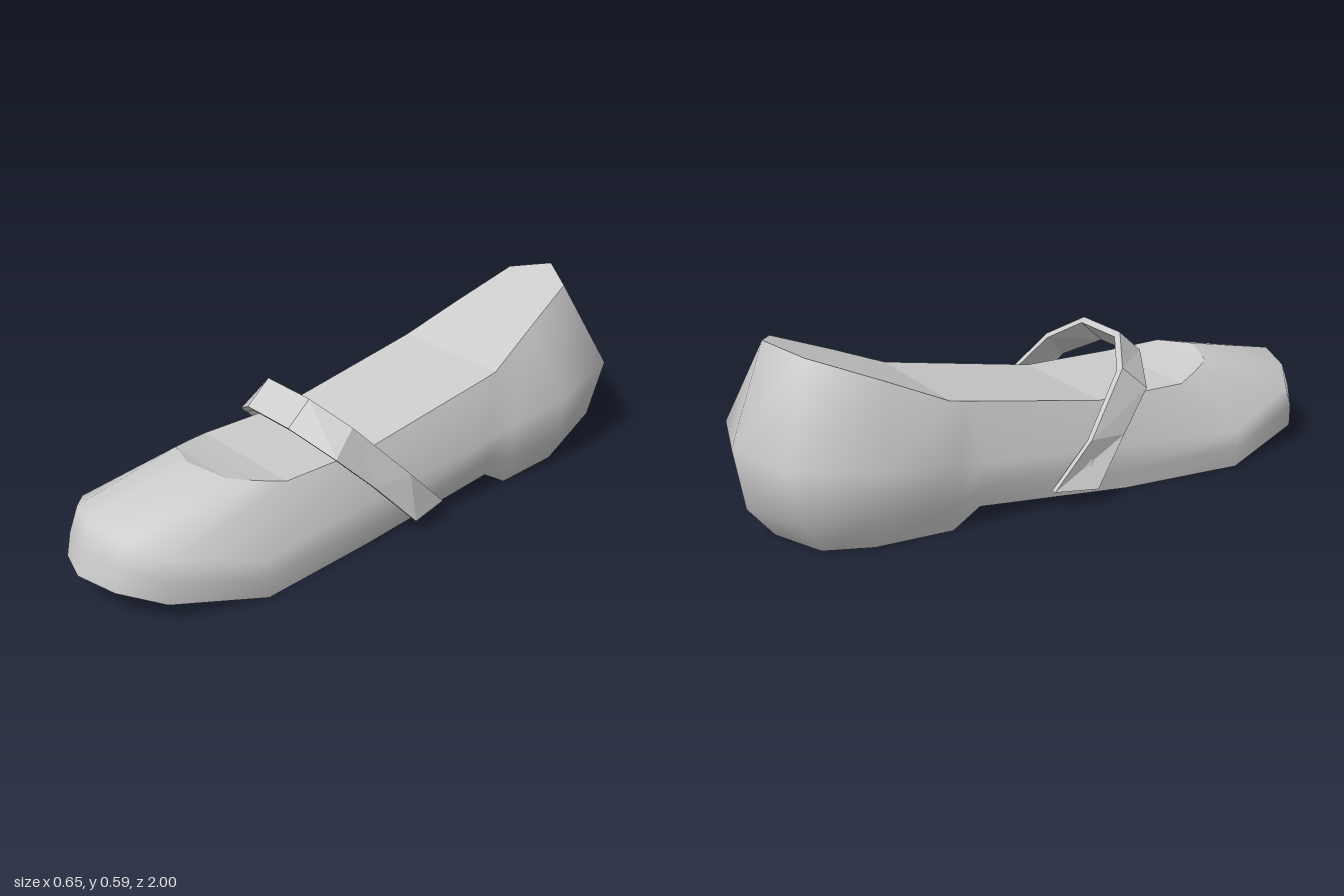
import * as THREE from 'three';

// Half outline from toe centre to heel centre.
// Each station: sole edge, lower wall, widest wall, rim of the opening (x, y, z).
const STATIONS = [
  [[0, .097, 1], [0, .175, .98], [0, .255, .955], [0, .327, .62]],
  [[.13, .087, .96], [.13, .16, .945], [.13, .235, .915], [.13, .312, .575]],
  [[.24, .062, .86], [.24, .13, .86], [.235, .197, .84], [.17, .295, .5]],
  [[.31, 0, .57], [.312, .06, .57], [.308, .12, .57], [.205, .28, .42]],
  [[.265, 0, .17], [.272, .06, .17], [.268, .14, .17], [.205, .285, .1]],
  [[.25, .055, -.35], [.27, .12, -.35], [.278, .2, -.35], [.21, .373, -.36]],
  [[.25, 0, -.44], [.272, .09, -.44], [.283, .21, -.44], [.21, .385, -.42]],
  [[.23, 0, -.68], [.275, .1, -.68], [.295, .25, -.66], [.17, .47, -.61]],
  [[.17, 0, -.82], [.215, .1, -.88], [.235, .285, -.93], [.125, .56, -.82]],
  [[0, 0, -.89], [0, .1, -.97], [0, .29, -1], [0, .59, -.89]],
];

const mirror = ([x, y, z]) => [-x, y, z];

function makeMesh(name, points, index, flatShading) {
  const geo = new THREE.BufferGeometry();
  geo.setAttribute('position', new THREE.Float32BufferAttribute(points.flat(), 3));
  geo.setIndex(index);
  geo.computeVertexNormals();
  const mat = new THREE.MeshStandardMaterial({ color: 0xcccccc, flatShading, side: THREE.DoubleSide });
  const mesh = new THREE.Mesh(geo, mat);
  mesh.name = name;
  return mesh;
}

const quad = (index, a, b, c, d) => index.push(a, b, c, a, c, d);

// Smooth wall running all the way round the shoe
function makeUpper() {
  const loop = [...STATIONS, ...STATIONS.slice(1, -1).reverse().map((s) => s.map(mirror))];
  const n = loop.length, index = [];
  for (let i = 0; i < n; i++) {
    const j = (i + 1) % n;
    for (let r = 0; r < 3; r++) quad(index, i * 4 + r, j * 4 + r, j * 4 + r + 1, i * 4 + r + 1);
  }
  return makeMesh('upper', loop.flat(), index, false);
}

// Surface stretched across the shoe between mirrored edge points
function makeSpan(name, row, facingUp) {
  const points = [], index = [];
  STATIONS.forEach((s) => points.push(s[row], mirror(s[row])));
  for (let i = 0; i < STATIONS.length - 1; i++) {
    const a = i * 2;
    if (facingUp) quad(index, a, a + 2, a + 3, a + 1);
    else quad(index, a, a + 1, a + 3, a + 2);
  }
  return makeMesh(name, points, index, true);
}

// Slanted faceted strap arching over the instep
function makeStrap() {
  const front = [[.325, .052, .02], [.28, .19, .145], [.235, .305, .26], [.1, .38, .33]];
  const back = [[.297, .062, -.118], [.293, .2, .016], [.215, .378, .18], [.1, .452, .25]];
  const both = (half) => [...half, ...half.slice().reverse().map(mirror)];
  const inner = (half) => half.map(([x, y, z], i) => {
    const lift = .005 * i;
    return [x - (i < 3 ? .017 : .008), y - lift, z - lift];
  });
  const rows = [both(front), both(back), both(inner(back)), both(inner(front))];
  const n = rows[0].length, points = [], index = [];
  for (let i = 0; i < n; i++) rows.forEach((r) => points.push(r[i]));
  for (let i = 0; i < n - 1; i++) {
    for (let k = 0; k < 4; k++) {
      const m = (k + 1) % 4;
      quad(index, i * 4 + k, i * 4 + m, i * 4 + 4 + m, i * 4 + 4 + k);
    }
  }
  // End faces
  quad(index, 3, 2, 1, 0);
  const e = (n - 1) * 4;
  quad(index, e, e + 1, e + 2, e + 3);
  return makeMesh('strap', points, index, true);
}

export function createModel() {
  const shoe = new THREE.Group();
  shoe.name = 'shoe';
  shoe.add(
    makeUpper(),
    makeSpan('sole', 0, false),
    makeSpan('insole', 3, true),
    makeStrap(),
  );
  return shoe;
}
